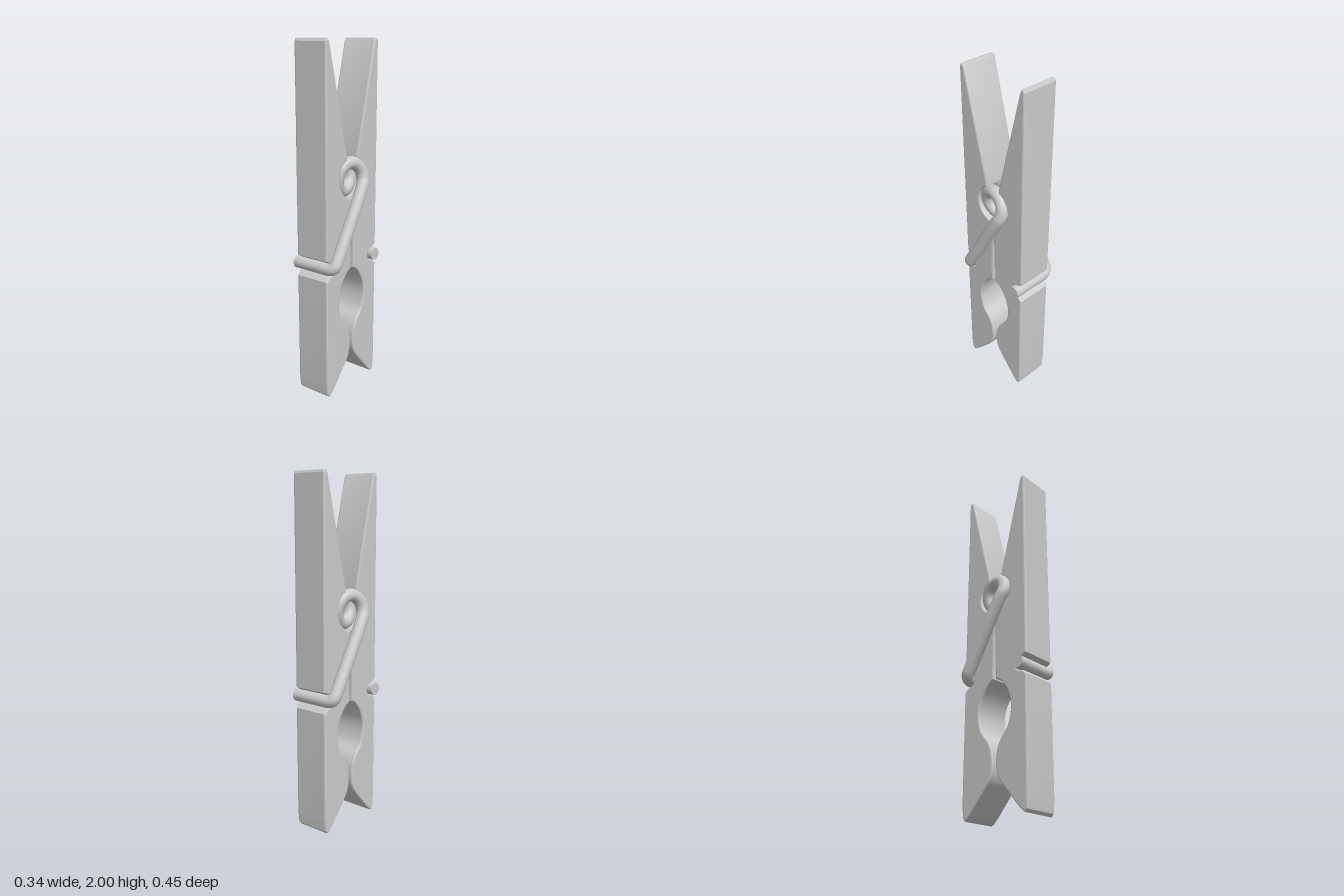
import * as THREE from 'three';
import { toCreasedNormals } from 'three/addons/utils/BufferGeometryUtils.js';

const WIRE = 0.036;    // wire radius
const COIL_Y = 1.26;   // coil axis height
const COIL_R = 0.081;  // coil centreline radius
const BAR = { x: 0.133, y: 0.777, z: 0.189 };

const v2 = (list) => list.map(([z, y]) => new THREE.Vector2(z, y));

// Points along an arc in the (z, y) plane
function arc(z, y, r, from, to, steps) {
  const points = [];
  for (let i = 0; i <= steps; i++) {
    const a = from + (to - from) * i / steps;
    points.push(new THREE.Vector2(z + r * Math.cos(a), y + r * Math.sin(a)));
  }
  return points;
}

// One wooden half: side profile extruded across the width; side = 1 front, -1 back
function woodGeometry(side) {
  const jaw = new THREE.SplineCurve(v2([
    [0.008, 0.737], [0.05, 0.71], [0.095, 0.645], [0.115, 0.56], [0.095, 0.465],
    [0.045, 0.4], [0.02, 0.345], [0.012, 0.27], [0.025, 0.208], [0.06, 0.155],
    [0.17, 0.03], [0.203, 0.005],
  ])).getPoints(66);
  const profile = [
    // handle tip and its sloped inner face
    ...v2([[0.218, 1.998], [0.204, 2], [0.194, 1.985], [0.045, 1.385]]),
    // seat for the coil
    ...arc(0, COIL_Y, 0.112, 1.159, -Math.PI / 2 + 0.02, 16),
    // contact face, then the narrow slit
    ...v2([[0.001, 1.01], [0.008, 0.99]]),
    // round opening, gripping lip and tapered foot
    ...jaw,
    ...v2([[0.217, 0.02], [0.224, 0.09], [0.225, 0.712]]),
    // notch for the wire
    ...arc(BAR.z, BAR.y, 0.038, -1.4, -2 * Math.PI + 1.4, 14),
    ...v2([[0.225, 0.832], [0.225, 1.985]]),
  ];
  const shape = new THREE.Shape(profile.map((p) => new THREE.Vector2(side * p.x, p.y)));
  const bevel = 0.009, width = 0.213;
  const geometry = new THREE.ExtrudeGeometry(shape, {
    depth: width - 2 * bevel, steps: 1,
    bevelEnabled: true, bevelSize: bevel, bevelThickness: bevel,
    bevelOffset: -bevel, bevelSegments: 2,
  });
  geometry.translate(0, 0, -(width - 2 * bevel) / 2);
  geometry.rotateY(-Math.PI / 2);
  geometry.translate(0.003, 0, 0);
  return toCreasedNormals(geometry, 0.36);
}

// Half of the spring's centreline, from the middle of the coil to the bar's end
function springHalf() {
  const points = [];
  const pitch = 0.09, end = Math.PI * 8 / 3, steps = 44;
  for (let i = 0; i <= steps; i++) {
    const a = end * i / steps;
    // the last stretch eases outwards into the leg
    const ease = Math.max(0, (a - Math.PI * 2) / (end - Math.PI * 2));
    points.push(new THREE.Vector3(
      pitch * a / (2 * Math.PI) + 0.008 * ease * ease,
      COIL_Y + COIL_R * Math.cos(a),
      -COIL_R * Math.sin(a)));
  }
  const start = points[points.length - 1];
  const corner = new THREE.Vector3(BAR.x, BAR.y, BAR.z);
  const along = corner.clone().sub(start).normalize();
  const bendIn = corner.clone().addScaledVector(along, -0.045);
  const bendOut = corner.clone().setX(BAR.x - 0.045);
  points.push(start.clone().lerp(bendIn, 0.25).setX(BAR.x), start.clone().lerp(bendIn, 0.6).setX(BAR.x));
  points.push(...new THREE.QuadraticBezierCurve3(bendIn, corner, bendOut).getPoints(8));
  points.push(new THREE.Vector3(0, BAR.y, BAR.z), new THREE.Vector3(-0.134, BAR.y, BAR.z));
  return points;
}

function createSpring(material) {
  const spring = new THREE.Group();
  spring.name = 'spring';

  // The other half is the same path turned half way round the upright axis
  const half = springHalf();
  const other = half.slice(1).reverse().map((p) => new THREE.Vector3(-p.x, p.y, -p.z));
  const path = new THREE.CatmullRomCurve3([...other, ...half], false, 'centripetal');
  path.arcLengthDivisions = 2000;
  const wire = new THREE.Mesh(new THREE.TubeGeometry(path, 480, WIRE, 20), material);
  wire.name = 'springWire';
  spring.add(wire);

  // Flat cut ends of the wire
  for (const side of [1, -1]) {
    const cap = new THREE.Mesh(new THREE.CircleGeometry(WIRE, 20), material);
    cap.name = side > 0 ? 'frontWireEnd' : 'backWireEnd';
    cap.position.set(-side * 0.134, BAR.y, side * BAR.z);
    cap.rotation.y = -side * Math.PI / 2;
    spring.add(cap);
  }
  return spring;
}

export function createModel() {
  const model = new THREE.Group();
  model.name = 'clothespin';
  const material = new THREE.MeshStandardMaterial({ color: 0xcccccc });

  for (const side of [1, -1]) {
    const wood = new THREE.Mesh(woodGeometry(side), material);
    wood.name = side > 0 ? 'frontHalf' : 'backHalf';
    model.add(wood);
  }
  model.add(createSpring(material));
  return model;
}
